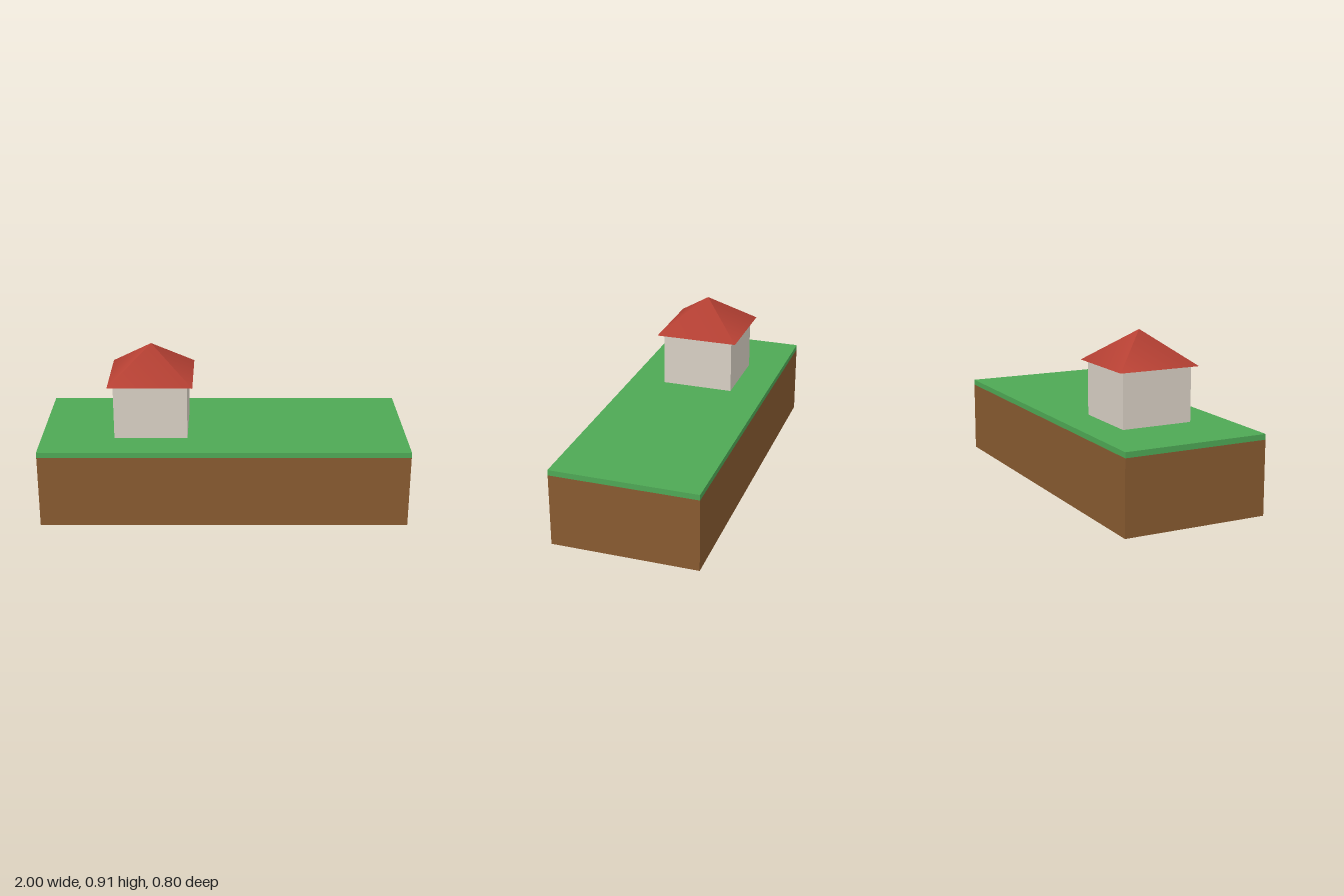
import * as THREE from 'three';

const material = (name, color) => {
  const m = new THREE.MeshStandardMaterial({ color });
  m.name = name;
  return m;
};

export function createModel() {
  const model = new THREE.Group();
  model.name = 'houseOnGround';

  const add = (name, geometry, mat, x, y, parent = model) => {
    const mesh = new THREE.Mesh(geometry, mat);
    mesh.name = name;
    mesh.position.set(x, y, 0);
    parent.add(mesh);
    return mesh;
  };

  // Ground block with a thin layer of grass
  add('soil', new THREE.BoxGeometry(2, 0.4, 0.8), material('soil brown', 0x885a30), 0, 0.2);
  add('grass', new THREE.BoxGeometry(2, 0.03, 0.8), material('grass green', 0x4ea855), 0, 0.415);

  // House standing on the grass, off to the right side
  const house = new THREE.Group();
  house.name = 'house';
  house.position.set(-0.4, 0.43, 0);
  model.add(house);
  add('walls', new THREE.BoxGeometry(0.4, 0.3, 0.4), material('wall cream', 0xd8d0c4), 0, 0.15, house);

  // Four-sided roof with smooth normals, overhanging the walls
  const roofGeometry = new THREE.ConeGeometry(0.23 * Math.SQRT2, 0.18, 4);
  roofGeometry.rotateY(Math.PI / 4);
  add('roof', roofGeometry, material('roof red', 0xb54033), 0, 0.39, house);

  return model;
}
